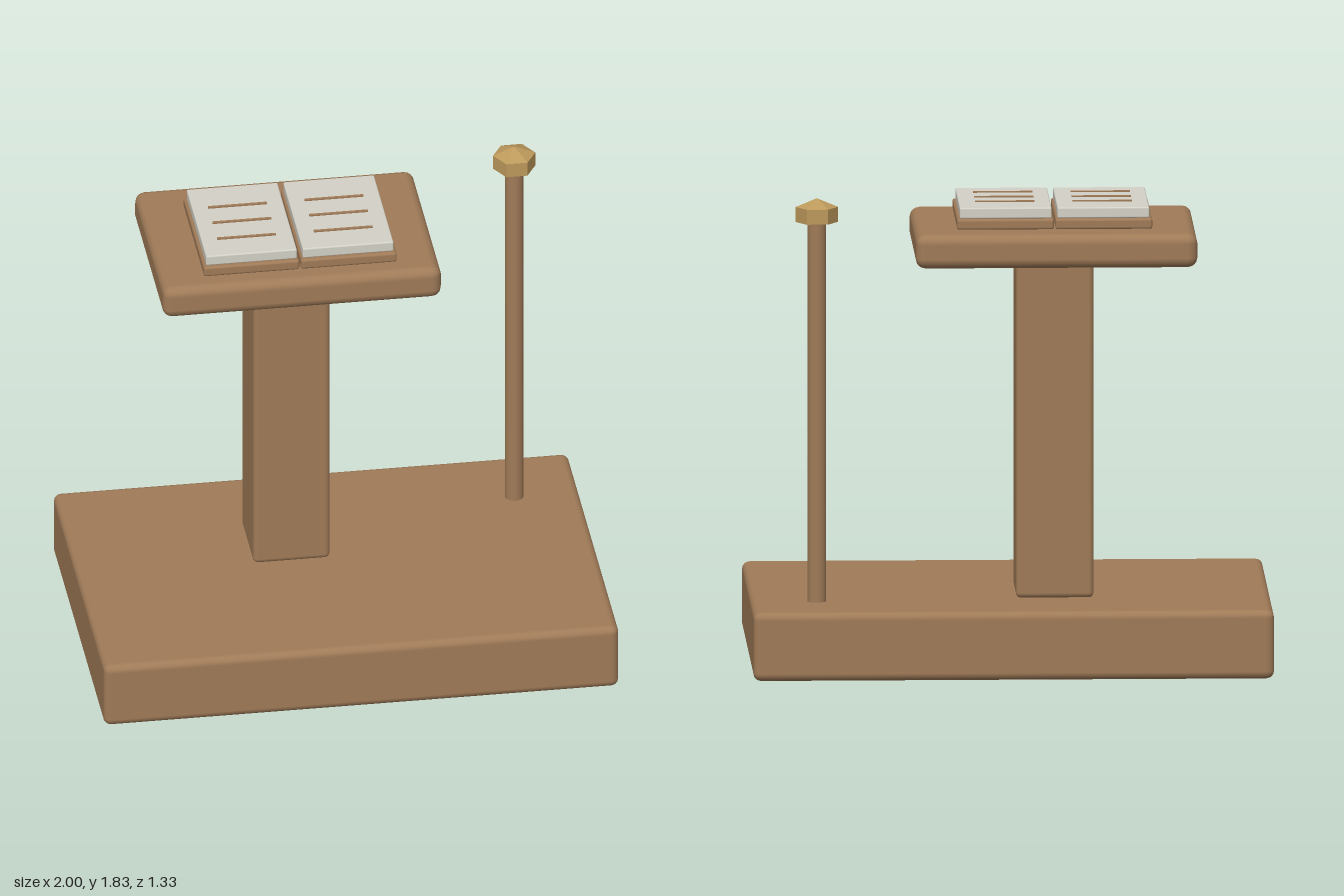
import * as THREE from 'three';
import { RoundedBoxGeometry } from 'three/addons/geometries/RoundedBoxGeometry.js';

export function createModel() {
  const group = new THREE.Group();
  const material = (name, color) => {
    const m = new THREE.MeshStandardMaterial({ color });
    m.name = name;
    return m;
  };
  const wood = material('wood', 0xa07b58);
  const paper = material('paper', 0xd4d2c7);
  const brass = material('brass', 0xbd9a5c);
  brass.flatShading = true;

  const add = (name, geometry, mat, x, y, z) => {
    const mesh = new THREE.Mesh(geometry, mat);
    mesh.name = name;
    mesh.position.set(x, y, z);
    group.add(mesh);
    return mesh;
  };
  // Rounded block given by its limits on each axis
  const block = (name, mat, [x0, x1], [y0, y1], [z0, z1], radius) =>
    add(name, new RoundedBoxGeometry(x1 - x0, y1 - y0, z1 - z0, 2, radius), mat,
      (x0 + x1) / 2, (y0 + y1) / 2, (z0 + z1) / 2);

  // Plinth, column and reading desk
  block('base', wood, [-1, 1], [0, 0.267], [-0.665, 0.665], 0.03);
  block('column', wood, [-0.318, -0.02], [0.265, 1.6], [-0.314, -0.015], 0.02);
  block('deskTop', wood, [-0.712, 0.37], [1.57, 1.702], [-0.485, 0.282], 0.038);

  // Open book: covers, page blocks and ruled lines
  for (const [side, s] of [['right', -1], ['left', 1]]) {
    const span = (a, b) => [-0.168 + s * a, -0.168 + s * b].sort((p, q) => p - q);
    block(side + 'Cover', wood, span(0.003, 0.375), [1.7, 1.742], [-0.335, 0.2], 0.01);
    block(side + 'Pages', paper, span(0.011, 0.364), [1.742, 1.784], [-0.32, 0.186], 0.006);
    const centre = s > 0 ? 0.018 : -0.357;
    for (const z of [-0.17, -0.055, 0.065]) {
      add(side + 'TextLine', new THREE.BoxGeometry(0.228, 0.008, 0.012), wood, centre, 1.785, z);
    }
  }

  // Standing pole with a hexagonal finial
  const px = 0.747, pz = -0.367;
  add('pole', new THREE.CylinderGeometry(0.036, 0.036, 1.5, 16), wood, px, 1.01, pz);
  const collar = add('finialCollar', new THREE.CylinderGeometry(0.082, 0.082, 0.058, 6), brass, px, 1.77, pz);
  const tip = add('finialTip', new THREE.ConeGeometry(0.082, 0.034, 6, 1, true), brass, px, 1.816, pz);
  collar.rotation.y = tip.rotation.y = Math.PI / 6;

  return group;
}
